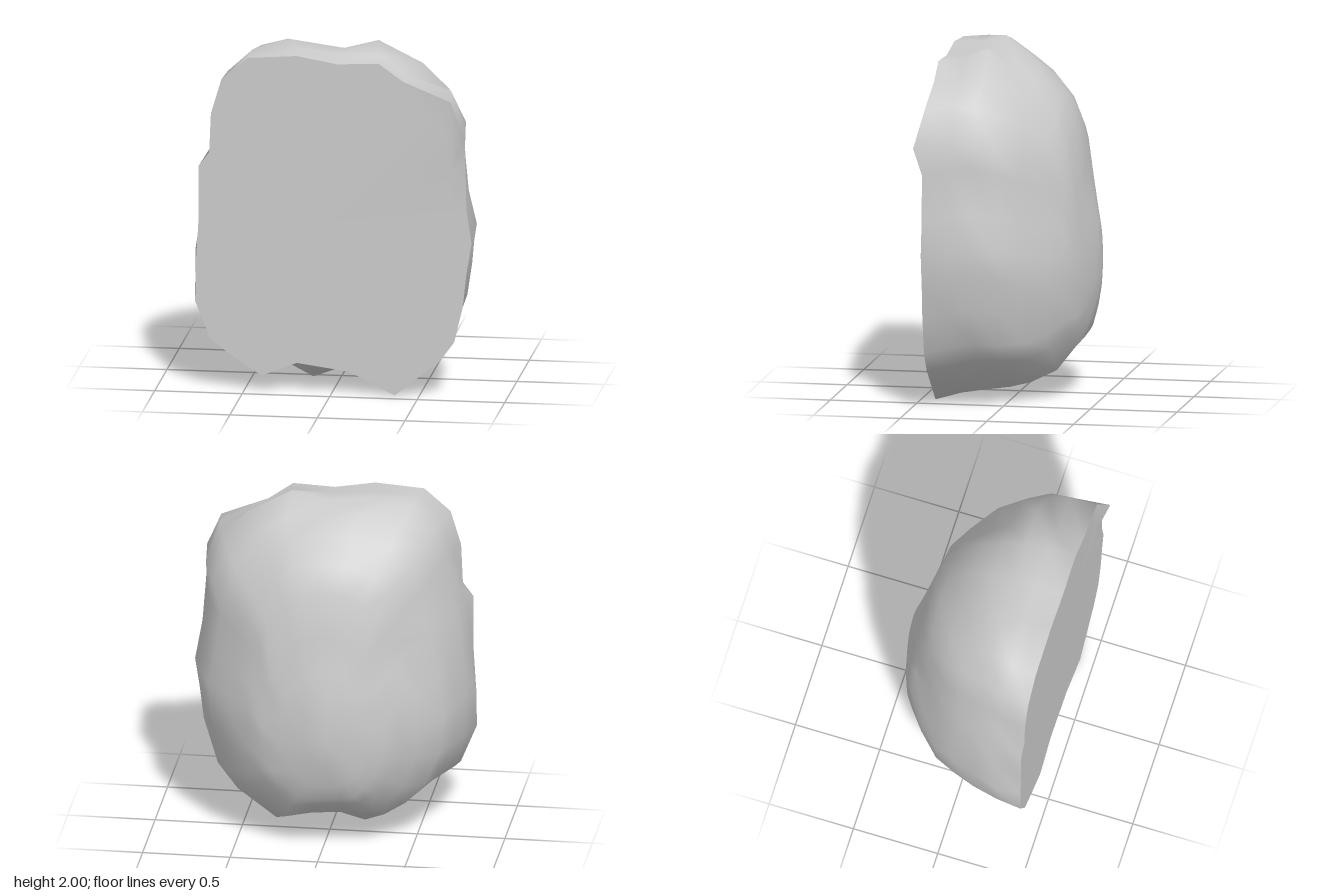
import * as THREE from 'three';

const FRONT_Z = 0.42;

// Outline of the flat cut face, counterclockwise
const OUTLINE = [
  [0.36, 0], [0.62, 0.21], [0.7, 0.32], [0.75, 0.53], [0.77, 0.72], [0.8, 0.9], [0.77, 1.1],
  [0.765, 1.36], [0.77, 1.51], [0.68, 1.72], [0.41, 1.83], [0.27, 1.93], [0.03, 1.92], [-0.2, 1.96],
  [-0.48, 1.94], [-0.63, 1.81], [-0.69, 1.61], [-0.7, 1.38], [-0.76, 1.3], [-0.76, 1.0],
  [-0.775, 0.75], [-0.78, 0.51], [-0.69, 0.29], [-0.54, 0.18], [-0.4, 0.09], [-0.2, 0.17], [0.1, 0.13],
];

// Rings behind the face: z, left x, right x, bottom y, top y
const RINGS = [
  [0.27, -0.78, 0.775, 0.07, 1.97],
  [0.14, -0.75, 0.76, 0.09, 1.98],
  [0, -0.7, 0.72, 0.09, 1.93],
  [-0.12, -0.65, 0.655, 0.1, 1.86],
  [-0.25, -0.53, 0.52, 0.16, 1.73],
  [-0.335, -0.43, 0.42, 0.26, 1.58],
  [-0.38, -0.36, 0.33, 0.32, 1.32],
  [-0.415, -0.27, 0.23, 0.42, 1.13],
  [-0.45, -0.13, 0.09, 0.56, 1.0],
];
const BACK = [-0.03, 0.72, -0.468];

// Shallow dents in the shell: centre, radius, depth
const DENTS = [
  [new THREE.Vector3(-0.52, 1.18, -0.24), 0.22, 0.035],
  [new THREE.Vector3(0.5, 1.2, -0.24), 0.2, 0.025],
];

// One corner of the cut pokes forward slightly
const frontRing = OUTLINE.map(([x, y], i) => [x, y, i === 8 ? 0.47 : FRONT_Z]);

// Each ring eases the outline toward a rounded oval, with slimmer upper
// shoulders toward the back, a fuller waist, dents and small lumps
function makeRing([z, xl, xr, yb, yt], k) {
  const t = (k + 1) / RINGS.length;
  const blend = Math.min(1, t * 1.2 - 0.1);
  const power = 3.1 - t * 0.9;
  const rough = 0.01 * (1 - t);
  return OUTLINE.map(([x, y], i) => {
    const u = x / 0.79, v = (y - 0.99) / 0.96;
    const a = Math.atan2(v, u), c = Math.cos(a), s = Math.sin(a);
    const r = (Math.abs(c) ** power + Math.abs(s) ** power) ** (-1 / power);
    const shoulder = 0.14 * Math.min(1, t * 1.5) * Math.max(0, Math.abs(c) * s);
    const scale = 1 - shoulder + rough * Math.sin(i * 2.3 + k * 1.7);
    const pu = THREE.MathUtils.lerp(u, r * c, blend) * scale;
    const pv = THREE.MathUtils.lerp(v, r * s, blend) * scale;
    const py = (yb + yt) / 2 + pv * (yt - yb) / 2;
    const waist = 1 + 0.035 * Math.exp(-(((py - 0.78) / 0.28) ** 2));
    const p = new THREE.Vector3(
      ((xl + xr) / 2 + pu * (xr - xl) / 2) * waist,
      py,
      z + rough * Math.sin(i * 1.9 + k * 2.6),
    );
    for (const [centre, radius, depth] of DENTS) {
      const push = depth * Math.exp(-p.distanceToSquared(centre) / radius ** 2);
      p.addScaledVector(new THREE.Vector3(centre.x, 0, centre.z).normalize(), -push);
    }
    return p.toArray();
  });
}

function geometryFrom(points, index) {
  const geo = new THREE.BufferGeometry();
  geo.setAttribute('position', new THREE.Float32BufferAttribute(points.flat(), 3));
  geo.setIndex(index);
  geo.computeVertexNormals();
  return geo;
}

// Joins rings in order and closes the last one on a tip point
function skin(rings, tip, flip) {
  const n = OUTLINE.length;
  const index = [];
  const add = (a, b, c) => index.push(a, ...(flip ? [c, b] : [b, c]));
  rings.forEach((_, k) => {
    for (let i = 0; i < n; i++) {
      const a = k * n + i, b = k * n + (i + 1) % n;
      if (k === rings.length - 1) {
        add(a, rings.length * n, b);
      } else {
        add(a, a + n, b);
        add(b, a + n, b + n);
      }
    }
  });
  return geometryFrom([...rings.flat(), tip], index);
}

export function createModel() {
  const group = new THREE.Group();
  group.name = 'halfBoulder';
  const material = new THREE.MeshStandardMaterial({ color: 0xcccccc });

  // Rounded rough shell
  const rings = [frontRing, ...RINGS.map(makeRing)];
  rings[2][25] = [-0.14, 0.03, 0.16]; // spur under the base
  rings[2][26] = [0.1, 0.11, 0.12]; // hollow beside the spur
  rings[3][25] = [-0.2, 0.07, 0]; // low point behind the spur
  rings[2][10] = [0.48, 1.87, 0.12]; // knob on the upper shoulder
  rings[2][11] = [0.23, 2.0, 0.14]; // peak on top
  rings[2][13] = [-0.29, 1.99, 0.14]; // second, lower peak
  const shell = new THREE.Mesh(skin(rings, BACK, false), material);
  shell.name = 'roundedShell';

  // Flat cut face with a narrow rim, so the raised corner stays local
  const rim = OUTLINE.map(([x, y]) => [x * 0.88, 1 + (y - 1) * 0.88, FRONT_Z]);
  const face = new THREE.Mesh(skin([frontRing, rim], [0, 1, FRONT_Z], true), material);
  face.name = 'flatFace';

  group.add(shell, face);
  return group;
}
